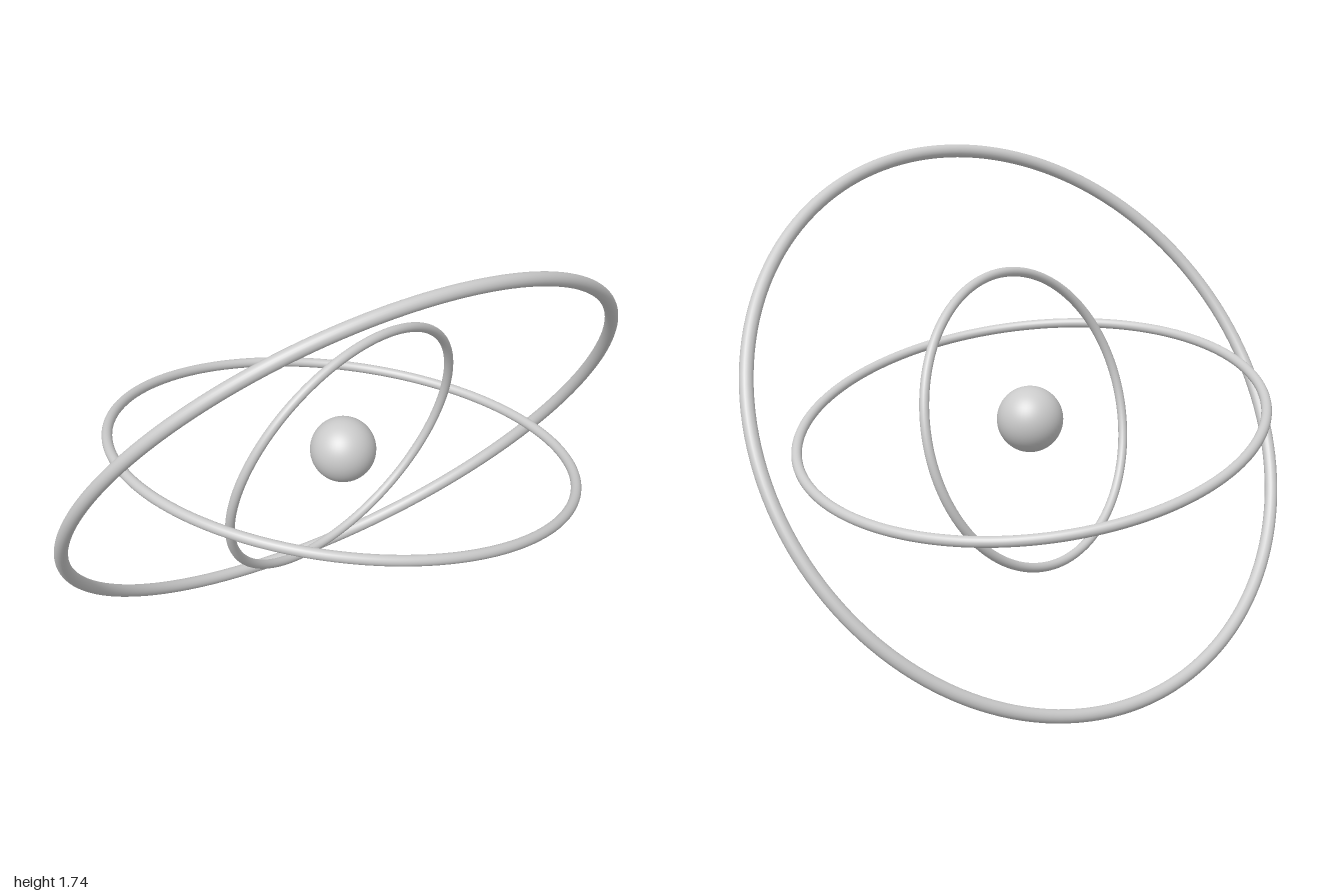
import * as THREE from 'three';

export function createModel() {
  const model = new THREE.Group();
  const material = new THREE.MeshStandardMaterial({ color: 0xcccccc });
  const centre = new THREE.Vector3(0, 0.872, 0);
  const ringAxis = new THREE.Vector3(0, 0, 1);

  const add = (name, geometry) => {
    const mesh = new THREE.Mesh(geometry, material);
    mesh.name = name;
    mesh.position.copy(centre);
    model.add(mesh);
    return mesh;
  };

  // Central ball
  add('core', new THREE.SphereGeometry(0.112, 48, 32));

  // Tilted orbit rings: name, radius, tube radius, normal of the ring's plane
  const rings = [
    ['innerRing', 0.5, 0.016, [-0.02, -0.263, 0.965]],
    ['middleRing', 0.79, 0.0175, [0.223, 1, -0.042]],
    ['outerRing', 1.005, 0.0225, [0.236, 0.538, -0.808]],
  ];
  for (const [name, radius, tube, normal] of rings) {
    const ring = add(name, new THREE.TorusGeometry(radius, tube, 20, 160));
    ring.quaternion.setFromUnitVectors(ringAxis, new THREE.Vector3(...normal).normalize());
  }
  return model;
}
